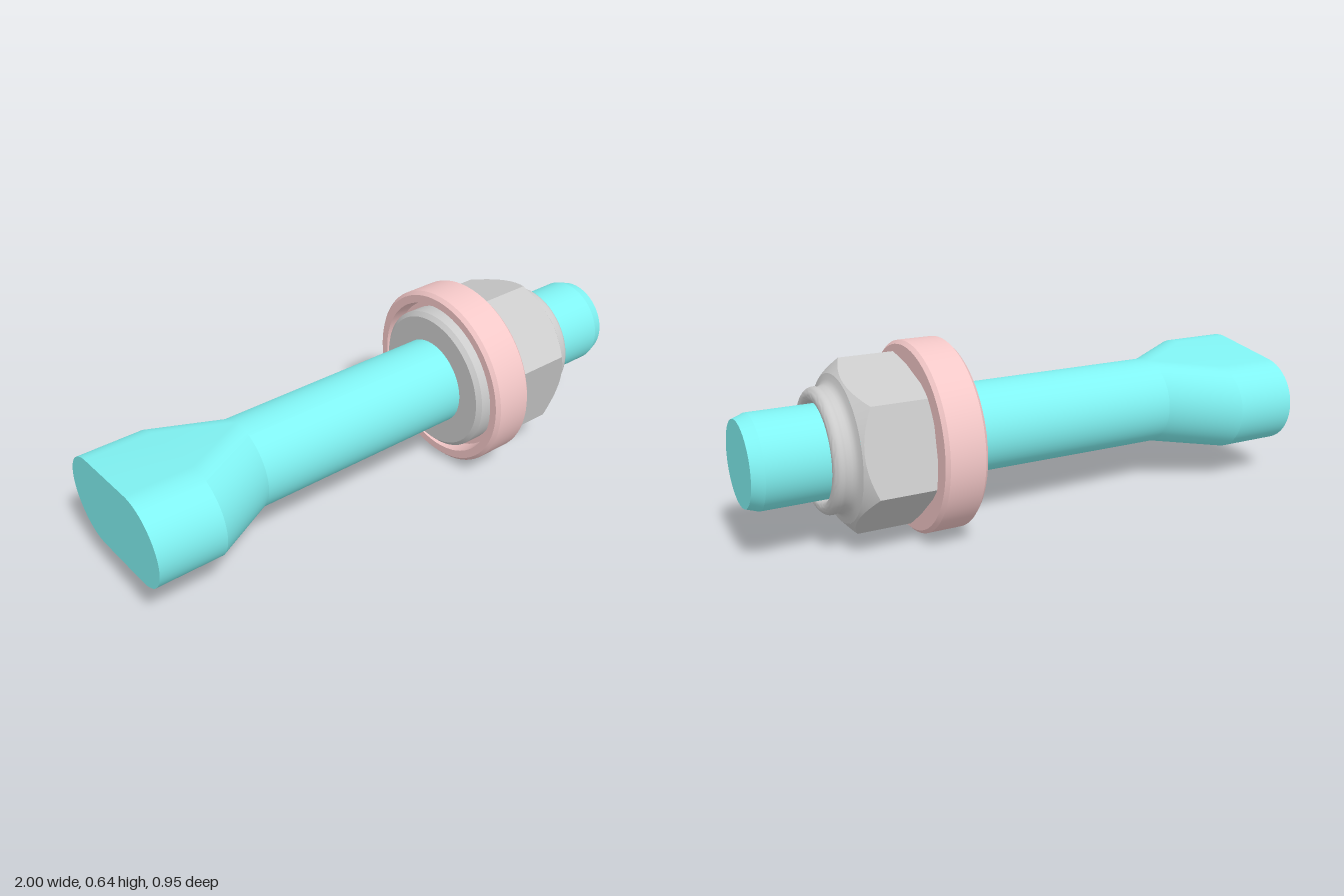
import * as THREE from 'three';
import { toCreasedNormals } from 'three/addons/utils/BufferGeometryUtils.js';

const CYAN = 0x80f2f2, PINK = 0xf4c8c8, GREY = 0xcccccc;
const rad = THREE.MathUtils.degToRad;

function part(name, geometry, color, crease = 22) {
  const mesh = new THREE.Mesh(toCreasedNormals(geometry, rad(crease)), new THREE.MeshStandardMaterial({ color }));
  mesh.name = name;
  return mesh;
}

// Skin closed rings of points, listed from the bottom up
function loft(rings) {
  const n = rings[0].length, index = [];
  for (let r = 0; r < rings.length - 1; r++) {
    for (let i = 0; i < n; i++) {
      const j = (i + 1) % n, a = r * n + i, b = r * n + j;
      index.push(a, b, b + n, a, b + n, a + n);
    }
  }
  const geometry = new THREE.BufferGeometry().setFromPoints(rings.flat());
  geometry.setIndex(index);
  return geometry;
}

function lathe(profile) {
  return new THREE.LatheGeometry(profile.map(([r, y]) => new THREE.Vector2(r, y)), 72);
}

// Rounded slot section: half width w, half thickness t, rolled about the axis
function slotRing(y, w, t) {
  const ring = [], roll = rad(6), half = 32;
  for (const side of [1, -1]) {
    for (let i = 0; i <= half; i++) {
      const a = Math.PI * i / half + (side < 0 ? Math.PI : 0);
      const u = t * Math.sin(a) + side * (w - t), v = t * Math.cos(a);
      ring.push(new THREE.Vector3(u * Math.cos(roll) - v * Math.sin(roll), y, u * Math.sin(roll) + v * Math.cos(roll)));
    }
  }
  return ring;
}

// Hexagon with conical chamfers at both ends
function hexGeometry(flat, bottom, top, turn) {
  const rings = [[], [], [], []], n = 96, inner = flat - 0.006;
  for (let i = 0; i < n; i++) {
    const a = 2 * Math.PI * i / n;
    const r = flat / Math.cos((a % (Math.PI / 3)) - Math.PI / 6);
    const rows = [[inner, bottom], [r, bottom + (r - inner) * 0.4], [r, top - (r - inner) * 0.9], [inner, top]];
    rows.forEach(([rr, y], k) => rings[k].push(
      new THREE.Vector3(rr * Math.sin(a + turn), y, rr * Math.cos(a + turn))));
  }
  return loft(rings);
}

export function createModel() {
  const model = new THREE.Group();
  model.name = 'anchorBolt';
  const R = 0.153, length = 1.955;

  // Shaft with a flattened, flared head and a chamfered tip
  const sections = [[0, 0, 0], [0, 0.285, R], [0.225, 0.285, R], [0.452, R, R],
    [length - 0.04, R, R], [length, R - 0.014, R - 0.014], [length, 0, 0]];
  model.add(part('shaft', loft(sections.map(s => slotRing(...s))), CYAN, 15));

  // Cupped washer
  model.add(part('washer', lathe([[0.15, 1.31], [0.272, 1.31], [0.28, 1.262], [0.308, 1.262], [0.32, 1.274],
    [0.32, 1.395], [0.308, 1.407], [0.15, 1.407]]), PINK));

  // Round seat of the nut, standing proud behind the washer
  model.add(part('nutSeat', lathe([[0.14, 1.236], [0.238, 1.236], [0.253, 1.25], [0.253, 1.33]]), GREY));

  // Nut: hexagon body and rounded locking collar
  const nut = new THREE.Group();
  nut.name = 'nut';
  nut.add(part('nutBody', hexGeometry(0.247, 1.402, 1.645, rad(13)), GREY));
  const collar = [[0.241, 1.645], [0.222, 1.65], [0.21, 1.657], [0.205, 1.666]];
  for (let i = 0; i <= 10; i++) {
    const a = -0.5 + (Math.PI / 2 + 0.9) * i / 10;
    collar.push([0.178 + 0.027 * Math.cos(a), 1.692 + 0.027 * Math.sin(a)]);
  }
  collar.push([0.16, 1.708], [0.16, 1.66], [0.15, 1.66]);
  nut.add(part('lockingCollar', lathe(collar), GREY, 50));
  model.add(nut);

  // Lay the bolt down along its slanted axis
  const yaw = rad(15), pitch = rad(1.5);
  const axis = new THREE.Vector3(Math.cos(yaw) * Math.cos(pitch), Math.sin(pitch), Math.sin(yaw) * Math.cos(pitch));
  const across = new THREE.Vector3(-Math.sin(yaw), 0, Math.cos(yaw));
  const up = new THREE.Vector3().crossVectors(across, axis);
  model.quaternion.setFromRotationMatrix(new THREE.Matrix4().makeBasis(across, axis, up));
  model.position.set(-0.925, 0.29, -0.198);

  const root = new THREE.Group();
  root.name = 'boltAssembly';
  root.add(model);
  return root;
}
